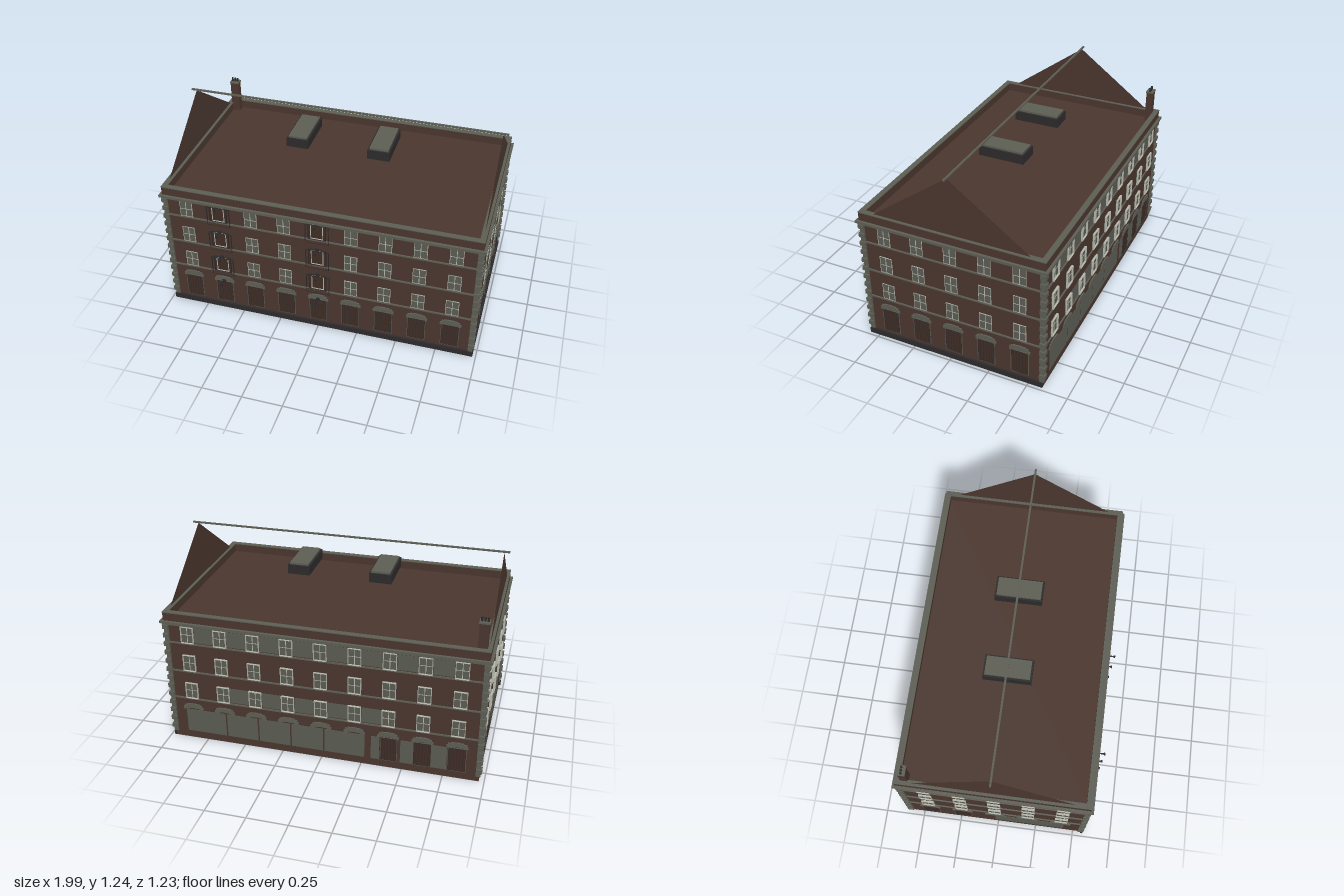
import * as THREE from 'three';

const mat = (name, color, side = THREE.FrontSide) => {
  const m = new THREE.MeshStandardMaterial({ color, side });
  m.name = name;
  return m;
};

export function createModel() {
  const brick = mat('brick', 0x4a362e);
  const gableBrick = mat('gableBrick', 0x4a362e, THREE.DoubleSide);
  const stone = mat('stone', 0x5c5d53);
  const dark = mat('darkMetal', 0x2c2a2b);
  const glass = mat('glass', 0x5a5c53);
  const paint = mat('framePaint', 0xb4b6aa);
  const wood = mat('doorWood', 0x402c25);

  const model = new THREE.Group();
  model.name = 'building';
  const ZC = -0.0175, HX = 0.968, HZ = 0.57, FLOORS = [0.297, 0.492, 0.685];

  const box = (parent, name, m, w, h, d, x, y, z) => {
    const b = new THREE.Mesh(new THREE.BoxGeometry(w, h, d), m);
    b.name = name;
    b.position.set(x, y, z);
    parent.add(b);
    return b;
  };
  // Rectangular outline made from four bars; y is the bottom edge
  const outline = (parent, name, m, w, h, t, d, x, y) => {
    for (const s of [-1, 1]) {
      box(parent, name, m, t, h, d, x + s * (w - t) / 2, y + h / 2, d / 2);
      box(parent, name, m, w - 2 * t, t, d, x, y + h / 2 + s * (h - t) / 2, d / 2);
    }
  };
  const named = (parent, name) => {
    const g = new THREE.Group();
    g.name = name;
    parent.add(g);
    return g;
  };

  // Four-pane window
  const sash = (wall, x, y, depth) => {
    const g = named(wall, 'window');
    box(g, 'panes', glass, 0.08, 0.11, 0.003, x, y + 0.055, 0.0015);
    outline(g, 'windowFrame', paint, 0.08, 0.11, 0.003, depth, x, y);
    box(g, 'mullion', paint, 0.004, 0.104, 0.005, x, y + 0.055, 0.0025);
    box(g, 'transom', paint, 0.074, 0.003, 0.0045, x, y + 0.055, 0.0023);
  };

  // Stepped stone arch over a ground floor bay
  const arch = (wall, x) => {
    const g = named(wall, 'arch');
    [[0, 0.03, 0.239], [0.027, 0.026, 0.237], [0.047, 0.018, 0.23], [0.058, 0.014, 0.222]]
      .forEach(([dx, w, y], i) => {
        for (const s of i ? [-1, 1] : [1])
          box(g, 'archStone', stone, w, i > 2 ? 0.018 : 0.03, 0.008, x + s * dx, y, 0.004);
      });
  };

  const door = (wall, x) => {
    const g = named(wall, 'door');
    box(g, 'doorPanel', wood, 0.11, 0.165, 0.002, x, 0.132, 0.001);
    outline(g, 'doorFrame', stone, 0.112, 0.165, 0.003, 0.004, x, 0.05);
    outline(g, 'doorEdge', dark, 0.104, 0.158, 0.003, 0.004, x, 0.052);
    for (let i = -2; i <= 2; i++)
      box(g, 'doorGroove', dark, 0.0025, 0.15, 0.003, x + i * 0.018, 0.13, 0.0015);
  };

  // French window with dark surround, rail and projecting lamp arm
  const balcony = (wall, x, y) => {
    const g = named(wall, 'balcony');
    box(g, 'shutter', wood, 0.11, 0.115, 0.002, x, y + 0.055, 0.001);
    outline(g, 'surround', dark, 0.112, 0.115, 0.004, 0.008, x, y);
    outline(g, 'balconyFrame', paint, 0.078, 0.105, 0.004, 0.006, x, y + 0.004);
    outline(g, 'balconyRail', dark, 0.146, 0.135, 0.003, 0.009, x, y - 0.028);
    box(g, 'balconyApron', brick, 0.14, 0.026, 0.008, x, y - 0.014, 0.004);
  };
  const lamp = (wall, x, y) => {
    const g = named(wall, 'lamp');
    const arm = new THREE.Mesh(new THREE.CylinderGeometry(0.004, 0.004, 0.055, 8), dark);
    arm.name = 'lampArm';
    arm.rotation.x = Math.PI / 2;
    arm.position.set(x, y, 0.0275);
    g.add(arm);
    box(g, 'lampHead', dark, 0.012, 0.016, 0.01, x, y, 0.054);
    box(g, 'lampPlate', dark, 0.024, 0.016, 0.012, x, y, 0.006);
  };

  // Main body, plinth and underside
  box(model, 'body', brick, HX * 2, 0.82, HZ * 2, 0, 0.412, ZC);
  box(model, 'underside', stone, HX * 2, 0.004, HZ * 2, 0, 0.002, ZC);
  box(model, 'frontPlinth', dark, 1.96, 0.035, 0.012, 0, 0.0175, ZC + HZ + 0.006);
  box(model, 'sidePlinth', dark, 0.012, 0.035, HZ * 2, HX + 0.006, 0.0175, ZC);

  // One wall frame per side: x along the wall, z outward
  const makeWall = (name, angle, dist, half) => {
    const w = named(model, name);
    w.rotation.y = angle;
    w.position.set(Math.sin(angle) * dist, 0, ZC + Math.cos(angle) * dist);
    for (const y of [0.292, 0.485, 0.68])
      box(w, 'stringCourse', stone, half * 2, 0.009, 0.008, 0, y, 0.004);
    box(w, 'lowerCornice', stone, half * 2 + 0.03, 0.01, 0.015, 0, 0.805, 0.0075);
    box(w, 'upperCornice', stone, half * 2 + 0.05, 0.014, 0.026, 0, 0.818, 0.013);
    box(w, 'parapet', brick, half * 2 + 0.018, 0.052, 0.03, 0, 0.85, -0.006);
    box(w, 'parapetCoping', stone, half * 2 + 0.02, 0.005, 0.034, 0, 0.8785, -0.006);
    return w;
  };
  const front = makeWall('frontWall', 0, HZ, HX);
  const back = makeWall('backWall', Math.PI, HZ, HX);
  const right = makeWall('rightWall', -Math.PI / 2, HX, HZ);
  const left = makeWall('leftWall', Math.PI / 2, HX, HZ);

  // Long walls, nine bays each
  for (let i = -4; i <= 4; i++) {
    const x = i * 0.2075, isBalcony = i === 0 || i === -3;
    for (const y of FLOORS) {
      if (isBalcony) balcony(front, x, y);
      else sash(front, x, y, 0.004);
      sash(back, x, y, 0.014);
    }
    if (isBalcony) for (const y of [0.225, 0.415, 0.61, 0.803]) lamp(front, x, y);
    arch(front, x);
    door(front, x);
    arch(back, x);
    if (i > 1) door(back, x);
  }
  // Short walls, five bays each
  for (let i = -2; i <= 2; i++) {
    const x = i * 0.2125;
    for (const y of FLOORS) {
      sash(left, x, y, 0.004);
      sash(right, x, y, 0.012);
    }
    arch(left, x);
    door(left, x);
    arch(right, x);
    if (i < 0) door(right, x);
  }

  // Glazed shopfronts on the back and one end
  const shop = (wall, a, b, y, h) =>
    box(wall, 'glazing', glass, b - a, h, 0.002, (a + b) / 2, y + h / 2, 0.001);
  for (const [a, b] of [[-0.88, -0.62], [-0.61, -0.41], [-0.4, -0.2], [-0.19, 0.01], [0.02, 0.27],
    [0.31, 0.37], [0.49, 0.57], [0.67, 0.77]])
    shop(back, a, b, 0.05, 0.16);
  shop(right, 0, 0.45, 0.05, 0.16);
  // Glazed bands between the back windows
  for (let i = -4; i < 4; i++) {
    const a = i * 0.2075 + 0.042, b = a + 0.123;
    shop(back, a, b, 0.69, 0.1);
    if (i > -4 && i < 2) shop(back, a, b, 0.302, 0.1);
  }

  // Corner quoins, alternating long and short
  for (const sx of [-1, 1]) for (const sz of [-1, 1]) {
    const g = named(model, 'quoins');
    for (let i = 0; i < 26; i++) {
      const out = i % 2 ? 0.016 : 0.008, s = i % 2 ? 0.036 : 0.028;
      box(g, 'quoin', stone, s, 0.027, s,
        sx * (HX + out - s / 2), 0.05 + i * 0.0293, ZC + sz * (HZ + out - s / 2));
    }
  }

  // Thin gable ends and ridge
  const tri = new THREE.Shape([[-HZ, 0.82], [HZ, 0.82], [0, 1.235]].map(p => new THREE.Vector2(...p)));
  for (const s of [-1, 1]) {
    const gable = new THREE.Mesh(new THREE.ShapeGeometry(tri), gableBrick);
    gable.name = 'gable';
    gable.rotation.y = Math.PI / 2;
    gable.position.set(s * 0.962, 0, ZC);
    model.add(gable);
  }
  box(model, 'ridge', stone, 1.99, 0.009, 0.012, 0, 1.239, ZC);

  // Raised rooflights
  for (const s of [-1, 1]) {
    const g = named(model, 'rooflight');
    box(g, 'rooflightBox', dark, 0.138, 0.058, 0.29, s * 0.255, 1.049, -0.02);
    box(g, 'rooflightGlass', stone, 0.116, 0.012, 0.268, s * 0.255, 1.084, -0.02);
  }

  // Chimney with three pots
  const chimney = named(model, 'chimney');
  box(chimney, 'stack', brick, 0.055, 0.21, 0.042, -0.927, 0.925, -0.541);
  box(chimney, 'chimneyCap', stone, 0.062, 0.009, 0.05, -0.927, 1.034, -0.541);
  for (let i = -1; i <= 1; i++) {
    const pot = new THREE.Mesh(new THREE.CylinderGeometry(0.006, 0.007, 0.024, 10), dark);
    pot.name = 'chimneyPot';
    pot.position.set(-0.927 + i * 0.018, 1.05, -0.541);
    chimney.add(pot);
  }
  return model;
}
